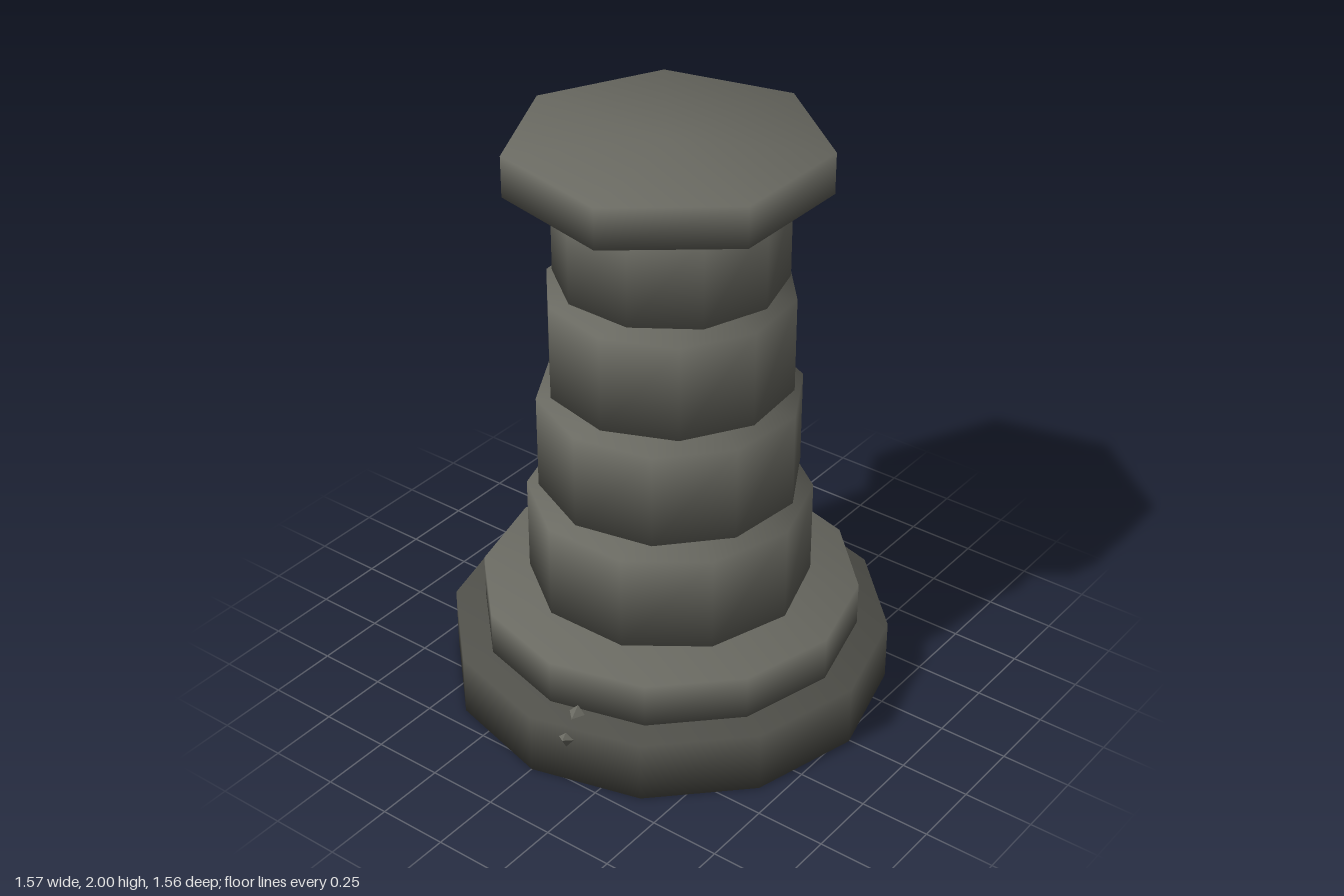
import * as THREE from 'three';
import { mergeVertices } from 'three/addons/utils/BufferGeometryUtils.js';

const material = (name, color) => {
  const m = new THREE.MeshStandardMaterial({ color });
  m.name = name;
  return m;
};

// Low-poly stone disc whose normals are blended over its rims
function stoneDisc(radius, bottom, top, sides, turn) {
  const g = new THREE.CylinderGeometry(radius, radius, top - bottom, sides);
  g.deleteAttribute('normal');
  g.deleteAttribute('uv');
  const merged = mergeVertices(g, 1e-4);
  merged.computeVertexNormals();
  merged.rotateY(turn);
  merged.translate(0, (top + bottom) / 2, 0);
  return merged;
}

export function createModel() {
  const group = new THREE.Group();
  const stone = material('stone grey', 0x6a6a62);
  const darkStone = material('dark stone', 0x50504a);

  const add = (name, geometry, mat, x, y, z) => {
    const mesh = new THREE.Mesh(geometry, mat);
    mesh.name = name;
    mesh.position.set(x, y, z);
    group.add(mesh);
    return mesh;
  };

  // Stepped base
  add('basePlinth', stoneDisc(0.78, 0, 0.225, 12, 0), darkStone, -0.005, 0, 0);
  add('upperPlinth', stoneDisc(0.67, 0.225, 0.387, 12, 0), stone, -0.005, 0, 0);

  // Floating column drums, each narrower, twisted and shifted further
  const drums = [
    // radius, bottom, top, x, z
    [0.497, 0.413, 0.76, -0.005, 0],
    [0.462, 0.787, 1.132, 0.025, -0.02],
    [0.432, 1.158, 1.505, 0.055, -0.043],
    [0.4, 1.53, 1.853, 0.085, -0.063],
  ];
  drums.forEach(([radius, bottom, top, x, z], i) => {
    add(`columnDrum${i + 1}`, stoneDisc(radius, bottom, top, 10, i * 0.2), stone, x, 0, z);
  });

  // Displaced seven-sided capital
  add('capital', stoneDisc(0.555, 1.853, 2, 7, Math.PI), stone, 0.115, 0, -0.1);

  // Rock chips lodged in the rim of the base
  const chip = new THREE.OctahedronGeometry(0.096);
  add('leftRockChip', chip, stone, 0.692, 0.16, -0.005).rotation.set(0, 0, 0.37);
  add('rightRockChip', chip, stone, -0.685, 0.16, 0.115).rotation.set(0, 0.2, -0.25);

  return group;
}
